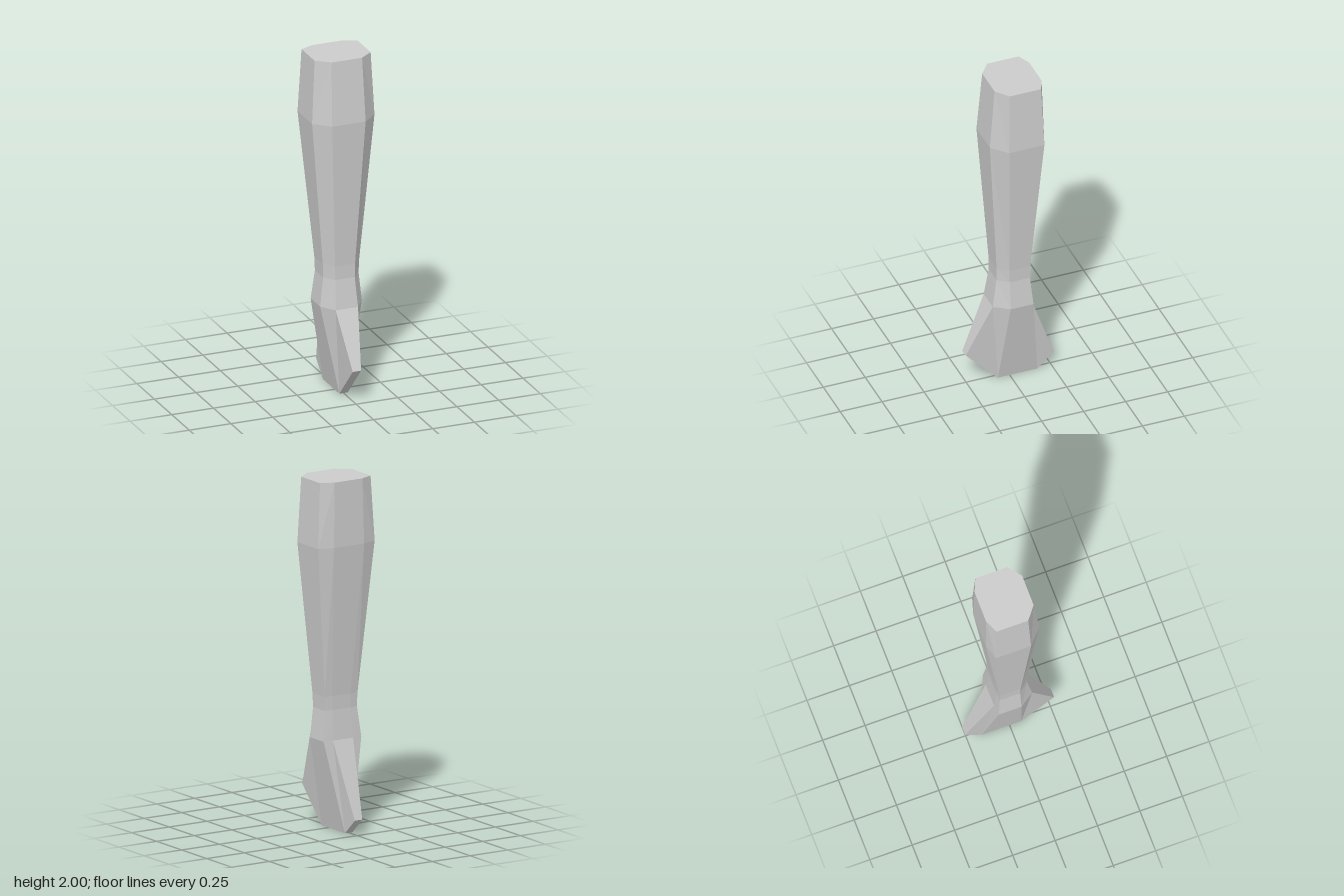
import * as THREE from 'three';

// Ring of eight corners, counter-clockwise seen from above, mirrored in x.
// half = four [x, y, z] corners of the +x side, from front to back.
function ring(half) {
  const mirrored = half.map(([x, y, z]) => [-x, y, z]).reverse();
  return [...half, ...mirrored];
}

// Level section: narrow / wide half widths, then z from front to back
function section(y, narrow, wide, zFront, zFrontSide, zBackSide, zBack) {
  return ring([[narrow, y, zFront], [wide, y, zFrontSide], [wide, y, zBackSide], [narrow, y, zBack]]);
}

// Skin between rings listed from top to bottom, with optional caps
function loft(rings, capTop, capBottom) {
  const pos = [];
  const tri = (a, b, c) => pos.push(...a, ...b, ...c);
  for (let r = 0; r < rings.length - 1; r++) {
    const up = rings[r], lo = rings[r + 1];
    for (let i = 0; i < 8; i++) {
      const j = (i + 1) % 8;
      // diagonals are mirrored left to right
      if (i === 0 || i === 1 || i === 4) {
        tri(up[i], lo[i], lo[j]);
        tri(up[i], lo[j], up[j]);
      } else {
        tri(up[j], lo[i], lo[j]);
        tri(up[j], up[i], lo[i]);
      }
    }
  }
  // caps are strips running across x, so they may bend along z
  const cap = (p, flip) => {
    for (let k = 0; k < 3; k++) {
      const q = [p[k], p[k + 1], p[6 - k], p[7 - k]];
      if (flip) q.reverse();
      tri(q[0], q[1], q[2]);
      tri(q[0], q[2], q[3]);
    }
  };
  if (capTop) cap(rings[0], false);
  if (capBottom) cap(rings[rings.length - 1], true);
  const geo = new THREE.BufferGeometry();
  geo.setAttribute('position', new THREE.Float32BufferAttribute(pos, 3));
  geo.computeVertexNormals();
  return geo;
}

export function createModel() {
  const group = new THREE.Group();
  const material = new THREE.MeshStandardMaterial({ color: 0xcccccc, flatShading: true });
  const add = (name, geo) => {
    const mesh = new THREE.Mesh(geo, material);
    mesh.name = name;
    group.add(mesh);
  };

  const collar = section(0.52, 0.067, 0.125, 0.118, 0.034, -0.102, -0.107);

  // tapering octagonal shaft with a narrow neck
  add('shaft', loft([
    section(2.0, 0.092, 0.168, 0.117, 0.057, -0.13, -0.163),
    section(1.63, 0.1, 0.187, 0.148, 0.067, -0.142, -0.168),
    section(0.77, 0.06, 0.109, 0.092, 0.034, -0.088, -0.093),
    section(0.69, 0.058, 0.106, 0.092, 0.032, -0.087, -0.092),
    collar,
  ], true, false));

  // wedge-shaped foot pinched to a thin keel, with a point at front and back
  const keel = ring([[0.025, 0.2, 0.262], [0.025, 0, 0.07], [0.025, 0, -0.165], [0.025, 0.09, -0.262]]);
  add('foot', loft([collar, keel], false, true));

  return group;
}
